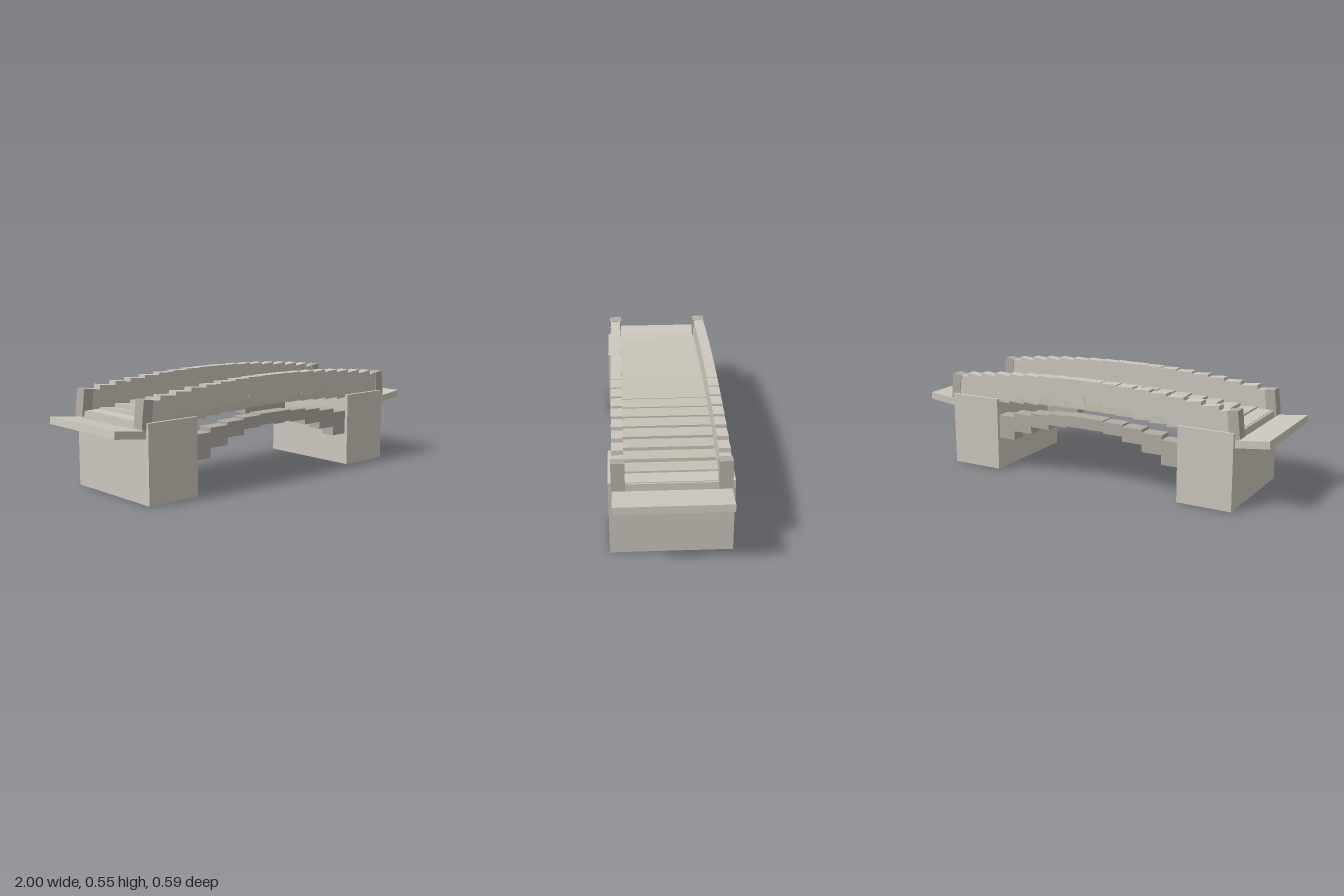
import * as THREE from 'three';

const stone = new THREE.MeshStandardMaterial({ color: 0xccc7be, flatShading: true });
const darkStone = new THREE.MeshStandardMaterial({ color: 0xb0aaa2, flatShading: true });
const paving = new THREE.MeshStandardMaterial({ color: 0xc6c2b6, flatShading: true });

const HALF = 0.84; // half length of the arched deck
const COUNT = 18;  // segments along the deck

// Height lost from the crown at x, and the tilt of a block laid there
const drop = (x, rise) => rise * (x / HALF) ** 2;
const tilt = (x, rise) => Math.atan((2 * rise * x) / (HALF * HALF));

export function createModel() {
  const bridge = new THREE.Group();
  bridge.name = 'archBridge';

  const block = (name, material, size, position, angle = 0, parent = bridge) => {
    const mesh = new THREE.Mesh(new THREE.BoxGeometry(...size), material);
    mesh.name = name;
    mesh.position.set(...position);
    mesh.rotation.z = angle;
    parent.add(mesh);
  };
  const group = (name) => {
    const g = new THREE.Group();
    g.name = name;
    bridge.add(g);
    return g;
  };

  // Abutments and the approach slabs that tip up at their outer ends
  for (const s of [1, -1]) {
    const side = s > 0 ? 'left' : 'right';
    block(side + 'Abutment', stone, [0.29, 0.39, 0.586], [s * 0.68, 0.195, 0]);
    block(side + 'ApproachSlab', stone, [0.21, 0.037, 0.55], [s * 0.894, 0.342, 0], s * 0.115);
  }

  // Deck slabs and parapet blocks, stepped along a shallow arch
  const deck = group('deck');
  const parapets = group('parapets');
  const step = (2 * HALF) / COUNT;
  for (let i = 0; i < COUNT; i++) {
    const x = -HALF + (i + 0.5) * step;
    block('deckSlab', paving, [step, 0.037, 0.55], [x, 0.4145 - drop(x, 0.056), 0], tilt(x, 0.056), deck);
    for (const s of [1, -1]) {
      block('parapetBlock', stone, [step, 0.14, 0.055],
        [x, 0.478 - drop(x, 0.062), s * 0.2475], tilt(x, 0.056), parapets);
    }
  }

  // End posts of the parapets
  const posts = group('endPosts');
  for (const sx of [1, -1]) {
    for (const sz of [1, -1]) {
      block('endPost', darkStone, [0.054, 0.138, 0.064], [sx * 0.817, 0.427, sz * 0.247], sx * 0.11, posts);
    }
  }

  // Stepped arch ribs under the deck: [bottom, top] from crown to springing
  const ribs = group('archRibs');
  const steps = [[0.295, 0.353], [0.287, 0.347], [0.26, 0.337], [0.222, 0.322], [0.173, 0.3]];
  steps.forEach(([bottom, top], i) => {
    for (const sx of [1, -1]) {
      for (const sz of [1, -1]) {
        block('archRibBlock', darkStone, [0.11, top - bottom, 0.08],
          [sx * (i + 0.5) * 0.11, (top + bottom) / 2, sz * 0.235], 0, ribs);
      }
    }
  });

  return bridge;
}
